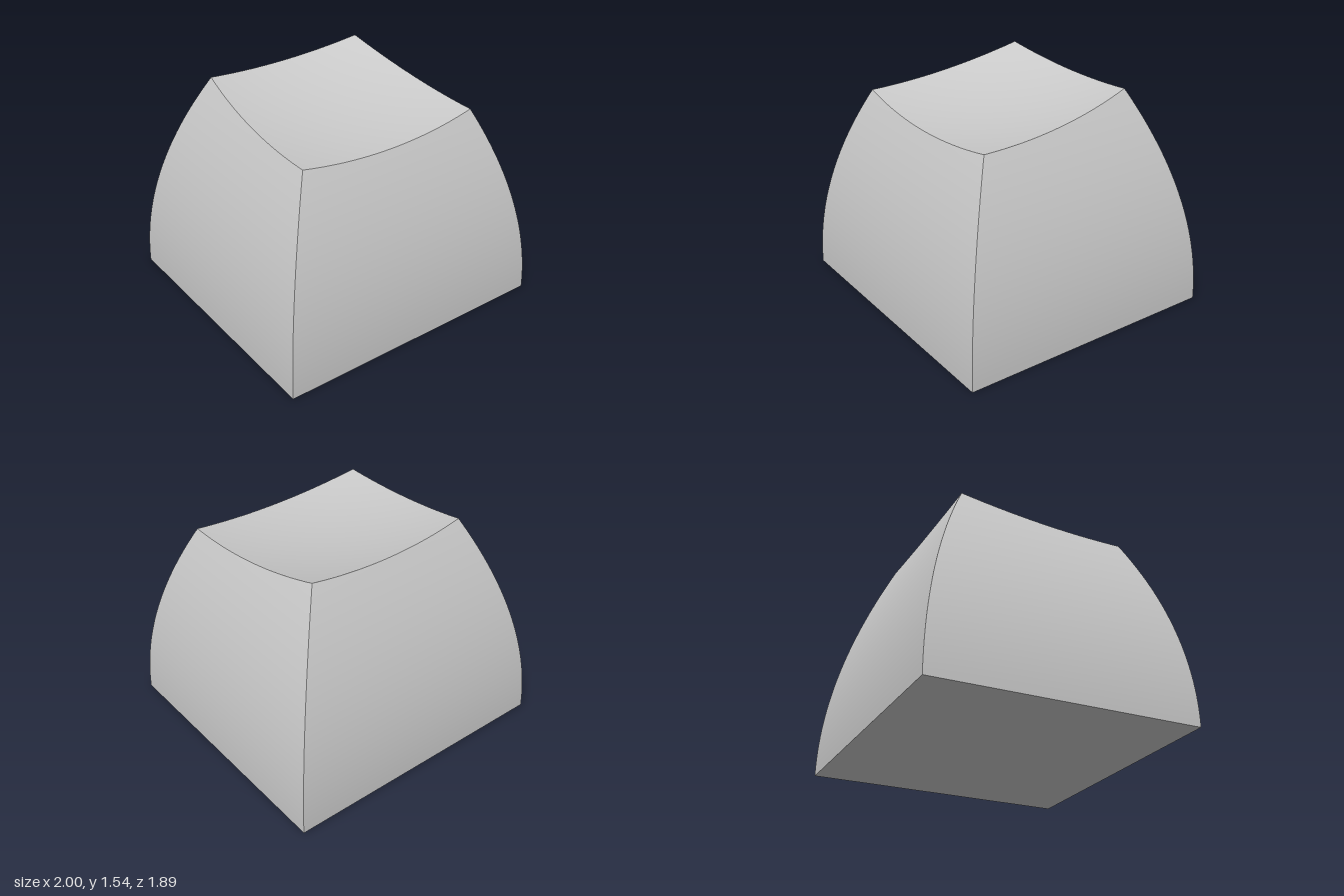
import * as THREE from 'three';

const HALF_X = 1, HALF_Z = 0.943;   // half size of the base
const TAPER = 0.166;                // walls lean in by TAPER * y^2
const DISH_R = 3.8, DISH_Y = 1.338, DISH_Z = 0.526; // spherical hollow on top

const halfX = y => HALF_X - TAPER * y * y;
const halfZ = y => HALF_Z - TAPER * y * y;
const dish = (x, z) =>
  DISH_Y + DISH_R - Math.sqrt(DISH_R ** 2 - x * x - (z - DISH_Z) ** 2);

// Height of the dish at a fraction (a, b) of the tapering cross-section
function topHeight(a, b) {
  let y = 1.4;
  for (let i = 0; i < 40; i++) y = dish(a * halfX(y), b * halfZ(y));
  return y;
}

// Point at fraction (a, b) of the section and fraction t of the height
function point(a, b, t) {
  const y = t * topHeight(a, b);
  return [a * halfX(y), y, b * halfZ(y)];
}

export function createModel() {
  const group = new THREE.Group();
  group.name = 'keycap';
  const material = new THREE.MeshStandardMaterial({ color: 0xcccccc });

  // Bends a plane (u, v from -1 to 1) into one smooth face
  function addFace(name, segments, rule) {
    const geometry = new THREE.PlaneGeometry(2, 2, segments, segments);
    const pos = geometry.attributes.position;
    for (let i = 0; i < pos.count; i++) {
      pos.setXYZ(i, ...rule(pos.getX(i), pos.getY(i)));
    }
    geometry.computeVertexNormals();
    const mesh = new THREE.Mesh(geometry, material);
    mesh.name = name;
    group.add(mesh);
  }

  // Curved side walls
  addFace('frontWall', 32, (u, v) => point(u, 1, (v + 1) / 2));
  addFace('backWall', 32, (u, v) => point(-u, -1, (v + 1) / 2));
  addFace('leftWall', 32, (u, v) => point(1, -u, (v + 1) / 2));
  addFace('rightWall', 32, (u, v) => point(-1, u, (v + 1) / 2));

  // Dished top and flat underside
  addFace('dishedTop', 32, (u, v) => point(u, -v, 1));
  addFace('underside', 1, (u, v) => point(u, v, 0));

  return group;
}
